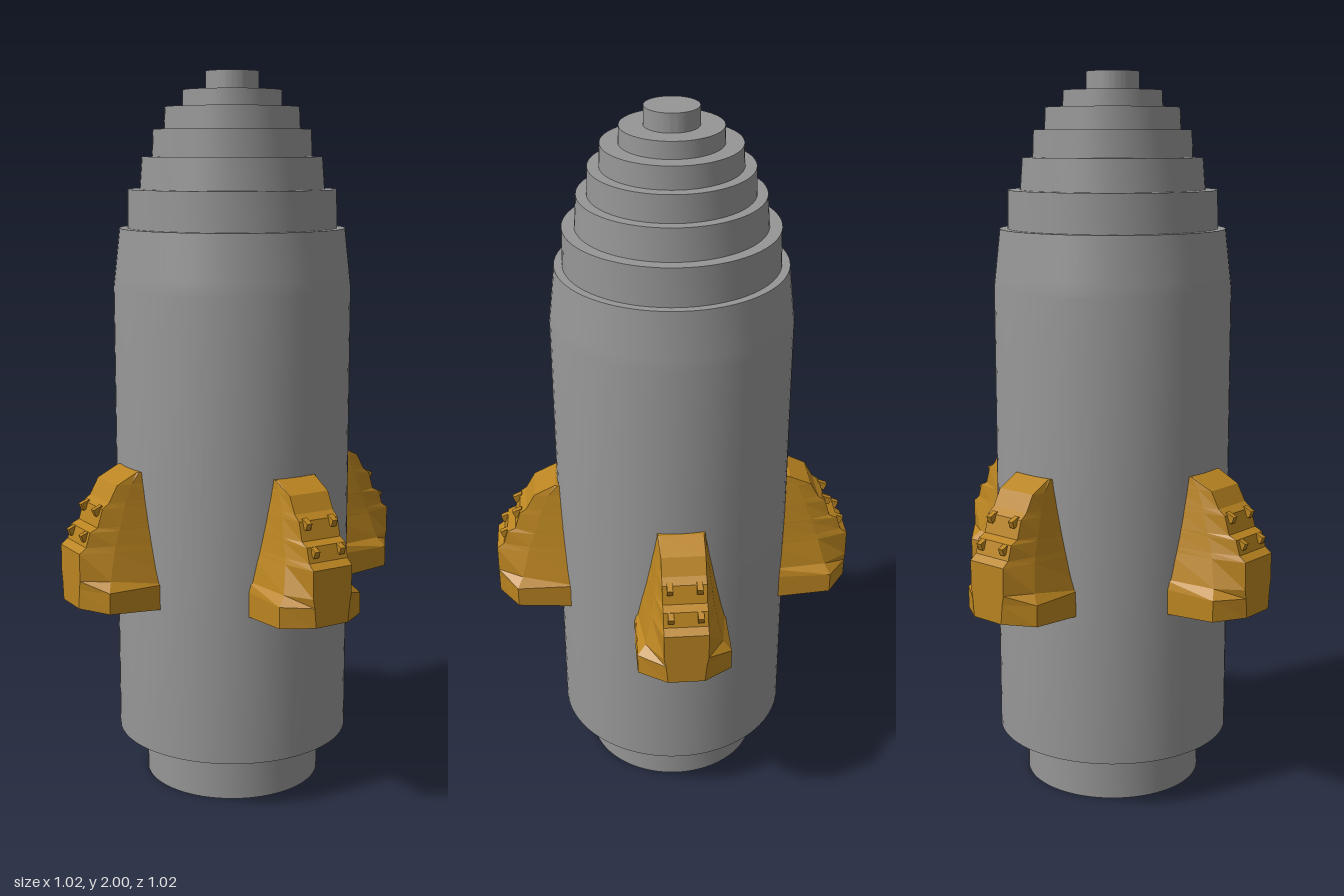
import * as THREE from 'three';
import { toCreasedNormals } from 'three/addons/utils/BufferGeometryUtils.js';

const grey = new THREE.MeshStandardMaterial({ color: 0x969696 });
grey.name = 'hull grey';
const amber = new THREE.MeshStandardMaterial({ color: 0xba8420 });
amber.name = 'fin amber';

// Smoothly turned part with sharp steps, profile given as [radius, y]
function turned(name, profile) {
  const geo = new THREE.LatheGeometry(profile.map(([r, y]) => new THREE.Vector2(r, y)), 72);
  const mesh = new THREE.Mesh(toCreasedNormals(geo, 0.5), grey);
  mesh.name = name;
  return mesh;
}

// Fin cross-sections from bottom to top:
// [y, half width at hull, fold radius, fold half width, outer radius, outer half width]
const finLayers = [
  [0.56, 0.128, 0.455, 0.128, 0.51, 0.05],
  [0.63, 0.128, 0.455, 0.128, 0.51, 0.055],
  [0.655, 0.122, 0.44, 0.105, 0.51, 0.06],
  [0.73, 0.107, 0.42, 0.088, 0.51, 0.06],
  [0.745, 0.104, 0.415, 0.085, 0.49, 0.06],
  [0.785, 0.096, 0.40, 0.08, 0.478, 0.06],
  [0.795, 0.094, 0.397, 0.079, 0.455, 0.06],
  [0.845, 0.084, 0.38, 0.073, 0.44, 0.06],
  [0.86, 0.081, 0.375, 0.071, 0.42, 0.06],
  [0.905, 0.072, 0.355, 0.066, 0.395, 0.06],
  [0.935, 0.066, 0.33, 0.064, 0.335, 0.06],
];

// Faceted fin lofted upward through its cross-sections, pointing along +x
function finGeometry() {
  const rIn = 0.28;
  const rings = finLayers.map(([y, wIn, rMid, wMid, rOut, wOut], level) =>
    [[rIn, -wIn], [rMid, -wMid], [rOut, -wOut], [rOut, wOut], [rMid, wMid], [rIn, wIn]].map(([r, w]) =>
      // the underside rises slightly towards the tip
      new THREE.Vector3(r, level === 0 ? y + 0.075 * (r - 0.3) : y, w)));
  const points = [];
  for (let k = 0; k < rings.length - 1; k++) {
    for (let i = 0; i < 6; i++) {
      const j = (i + 1) % 6;
      const a = rings[k][i], b = rings[k][j], c = rings[k + 1][j], d = rings[k + 1][i];
      points.push(a, d, c, a, c, b);
    }
  }
  const bottom = rings[0], top = rings[rings.length - 1];
  for (let i = 1; i < 5; i++) {
    points.push(bottom[0], bottom[i], bottom[i + 1], top[0], top[i + 1], top[i]);
  }
  const geo = new THREE.BufferGeometry().setFromPoints(points);
  geo.computeVertexNormals();
  return geo;
}

export function createModel() {
  const model = new THREE.Group();
  model.name = 'rocket';

  // Hollow exhaust nozzle
  model.add(turned('nozzle', [
    [0, 0.36], [0.13, 0.36], [0.13, 0.14], [0.18, 0.14], [0.18, 0], [0.25, 0], [0.25, 0.15],
  ]));

  // Main hull with tapered shoulder
  model.add(turned('hull', [
    [0.24, 0.14], [0.33, 0.14], [0.33, 1.42], [0.326, 1.455], [0.312, 1.58], [0, 1.58],
  ]));

  // Stepped nose: [bottom radius, top radius, bottom y, top y]
  [
    [0.29, 0.288, 1.58, 1.685],
    [0.255, 0.248, 1.685, 1.772],
    [0.22, 0.217, 1.772, 1.845],
    [0.187, 0.184, 1.845, 1.905],
    [0.137, 0.135, 1.905, 1.95],
    [0.073, 0.072, 1.95, 2.0],
  ].forEach(([r0, r1, y0, y1], i) => {
    model.add(turned(`noseStep${i + 1}`, [[r0, y0 - 0.005], [r1, y1], [0, y1]]));
  });

  // Four fins with paired studs on the stepped crest
  const finGeo = finGeometry();
  const studGeo = new THREE.BoxGeometry(0.028, 0.02, 0.016);
  for (let i = 0; i < 4; i++) {
    const fin = new THREE.Group();
    fin.name = `fin${i + 1}`;
    const blade = new THREE.Mesh(finGeo, amber);
    blade.name = 'finBlade';
    fin.add(blade);
    for (const [r, y] of [[0.482, 0.772], [0.444, 0.838]]) {
      for (const side of [-1, 1]) {
        const stud = new THREE.Mesh(studGeo, amber);
        stud.name = 'finStud';
        stud.position.set(r, y, side * 0.04);
        stud.rotation.z = -0.4;
        fin.add(stud);
      }
    }
    fin.rotation.y = i * Math.PI / 2;
    model.add(fin);
  }
  return model;
}
